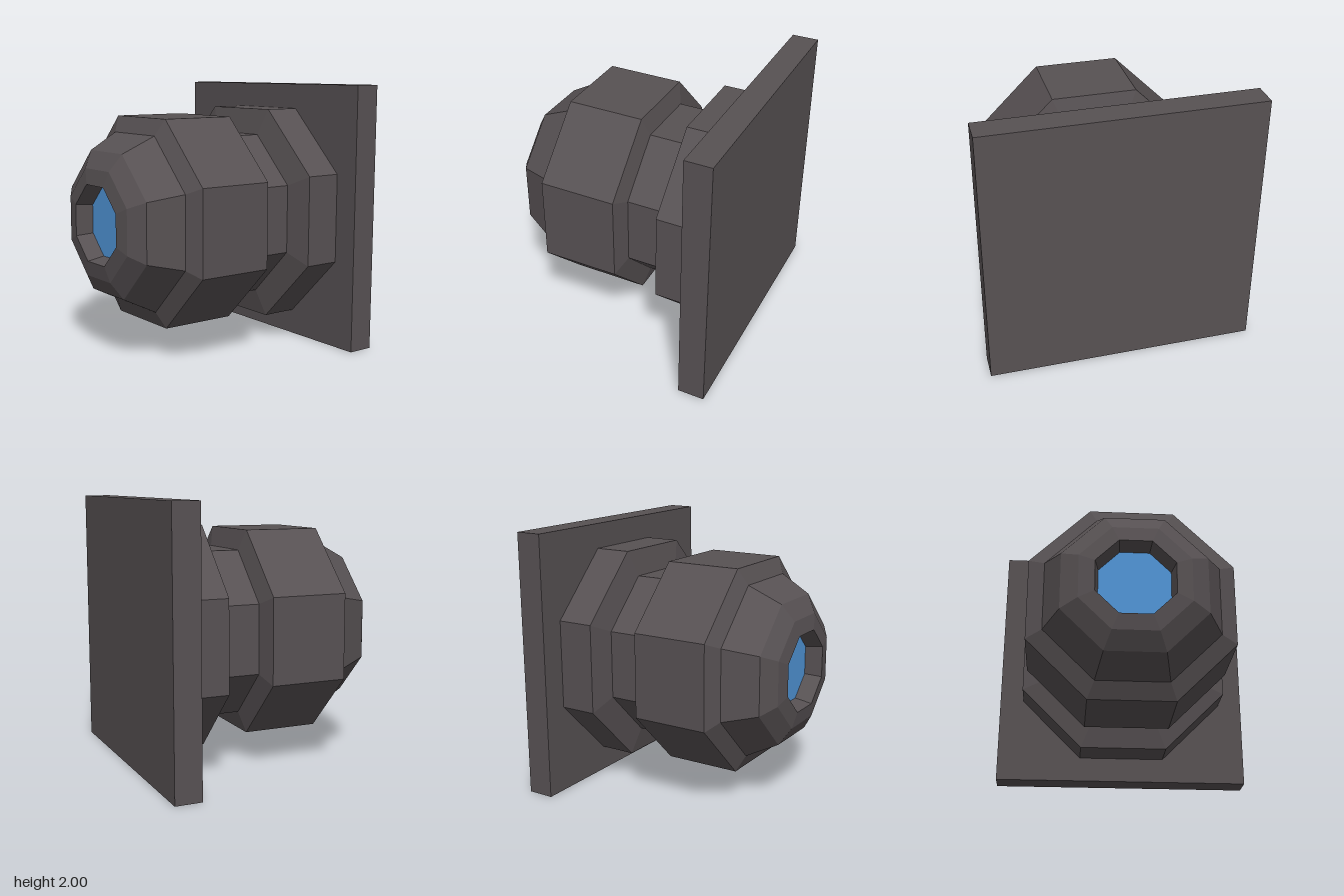
import * as THREE from 'three';

const SIDES = 8;
const toCorner = 1 / Math.cos(Math.PI / SIDES); // flat-to-flat half width -> corner radius

export function createModel() {
  const group = new THREE.Group();
  const housing = new THREE.MeshStandardMaterial({ color: 0x575153, flatShading: true });
  housing.name = 'dark grey housing';
  const glass = new THREE.MeshStandardMaterial({ color: 0x5094d6, flatShading: true });
  glass.name = 'blue glass';

  const add = (name, geometry, material, z) => {
    const mesh = new THREE.Mesh(geometry, material);
    mesh.name = name;
    mesh.position.set(0, 1, z);
    group.add(mesh);
  };

  // Octagonal ring surface around the z axis; profile is [half width, z]
  const turned = (profile) => {
    const points = profile.map(([r, z]) => new THREE.Vector2(r * toCorner, z));
    return new THREE.LatheGeometry(points, SIDES, Math.PI / SIDES)
      .rotateX(Math.PI / 2)
      .toNonIndexed();
  };

  // Square wall plate
  add('mountingPlate', new THREE.BoxGeometry(2, 2, 0.2), housing, -0.81);

  // Flange against the plate, tapering into the neck
  add('baseFlange', turned([[0.81, -0.71], [0.81, -0.43], [0.615, -0.39]]), housing, 0);
  add('neck', turned([[0.615, -0.39], [0.615, -0.11]]), housing, 0);

  // Main body with bevelled ends
  add('body', turned([[0.615, -0.11], [0.765, -0.07], [0.765, 0.51], [0.645, 0.57]]), housing, 0);

  // Rounded nose, folding back into the lens recess
  add('nose', turned([[0.645, 0.57], [0.525, 0.81], [0.4, 0.89], [0.285, 0.91]]), housing, 0);
  add('lensRecess', turned([[0.285, 0.91], [0.26, 0.78]]), housing, 0);

  // Lens at the bottom of the recess
  add('lens', new THREE.CircleGeometry(0.26 * toCorner, SIDES, Math.PI / SIDES), glass, 0.78);

  return group;
}
